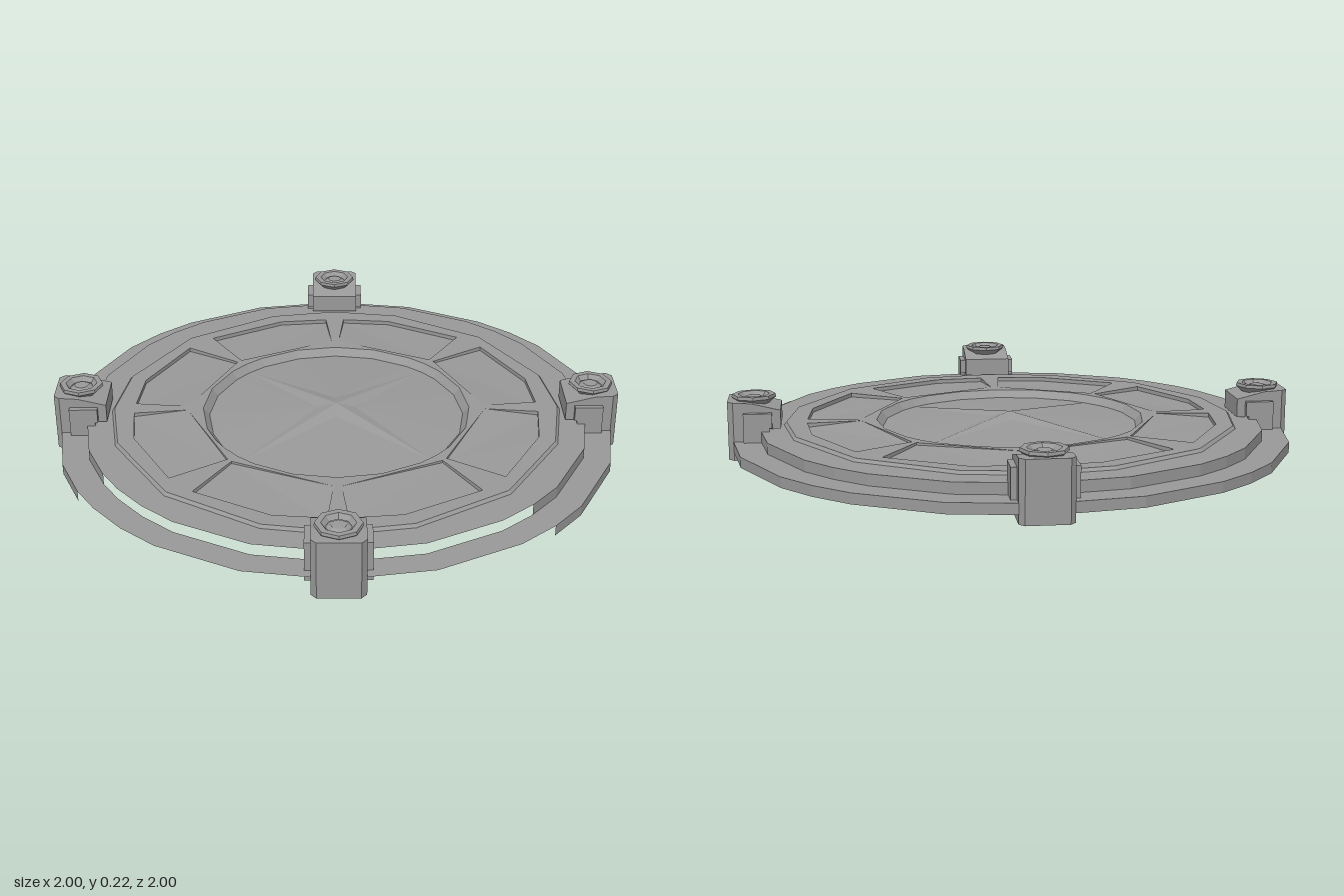
import * as THREE from 'three';

const material = new THREE.MeshStandardMaterial({
  color: 0x999999, flatShading: true, side: THREE.DoubleSide,
});
const PLATE_Y = 0.117, FLOOR_Y = 0.09;

// Corner angles in degrees, repeated for each quadrant; the rim has a split at 196
const quadrants = (list) => [0, 90, 180, 270].flatMap((q) => list.map((a) => a + q));
const RIM = [...quadrants([0, 9, 27, 45, 63, 81]), 196].sort((a, b) => a - b);
const PLATE = quadrants([0, 27, 45, 63]);

const polar = (deg, r) => {
  const a = THREE.MathUtils.degToRad(deg);
  return [r * Math.cos(a), r * Math.sin(a)];
};
const at = (deg, r, y) => {
  const [x, z] = polar(deg, r);
  return [x, y, z];
};
const ring = (angles, r) => angles.map((a) => polar(a, r));
// Neighbouring angles around the full circle
const segments = (angles) => angles.map((a, i) => [a, angles[i + 1] ?? angles[0] + 360]);

function mesh(name, geometry) {
  const m = new THREE.Mesh(geometry, material);
  m.name = name;
  return m;
}

function fromTriangles(name, points) {
  const g = new THREE.BufferGeometry();
  g.setAttribute('position', new THREE.Float32BufferAttribute(points.flat(), 3));
  g.computeVertexNormals();
  return mesh(name, g);
}

// Horizontal face at height y, with holes; points are [x, z]
function flat(name, outline, holes, y) {
  const toVec = (pts) => pts.map(([x, z]) => new THREE.Vector2(x, -z));
  const shape = new THREE.Shape(toVec(outline));
  holes.forEach((h) => shape.holes.push(new THREE.Path(toVec(h))));
  return mesh(name, new THREE.ShapeGeometry(shape).rotateX(-Math.PI / 2).translate(0, y, 0));
}

// Strip of quads from ring (r0, y0) to ring (r1, y1); skip leaves segments open
function band(name, angles, r0, y0, r1, y1, skip = () => false) {
  const tris = [];
  segments(angles).forEach(([a, b]) => {
    if (skip((a + b) / 2)) return;
    const a0 = at(a, r0, y0), b0 = at(b, r0, y0), a1 = at(a, r1, y1), b1 = at(b, r1, y1);
    tris.push(b0, a0, a1, b0, a1, b1);
  });
  return fromTriangles(name, tris);
}

// Sunken panel in one octant: [across, along axis, floor height]
const PANEL = [
  [0.01, 0.52, 0.108], [0.06, 0.74, 0.102], [0.35, 0.655, 0.102],
  [0.49, 0.54, 0.102], [0.37, 0.39, PLATE_Y],
];

function panelOutlines() {
  const out = [];
  for (let k = 0; k < 4; k++) {
    for (const s of [1, -1]) {
      const c = [1, 0, -1, 0][k], n = [0, 1, 0, -1][k];
      const pts = PANEL.map(([u, v]) => [s * u * c - v * n, s * u * n + v * c]);
      out.push({ pts, s });
    }
  }
  return out;
}

// Panel floor slopes from flush at the inside to sunken at the outside
function panel({ pts, s }) {
  const top = pts.map(([x, z]) => [x, PLATE_Y, z]);
  const low = pts.map(([x, z], i) => [x, PANEL[i][2], z]);
  const tris = [];
  const add = (a, b, c) => (s > 0 ? tris.push(a, c, b) : tris.push(a, b, c));
  for (let i = 1; i < 4; i++) add(low[0], low[i], low[i + 1]);
  for (let i = 0; i < 5; i++) {
    const j = (i + 1) % 5;
    if (j !== 4) add(top[i], low[j], top[j]);
    if (i !== 4) add(top[i], low[i], low[j]);
  }
  return fromTriangles('sunkenPanel', tris);
}

// Centre floor rising into a shallow four-pointed star
function starFloor() {
  const tris = [], peak = [0, 0.136, 0];
  for (const q of [0, 90, 180, 270]) {
    const valley = at(q + 45, 0.07, 0.119);
    tris.push(peak, valley, at(q, 0.46, FLOOR_Y));
    tris.push(peak, at(q + 90, 0.46, FLOOR_Y), valley);
    segments(RIM).filter(([a]) => a >= q && a < q + 90).forEach(([a, b]) => {
      tris.push(valley, at(b, 0.46, FLOOR_Y), at(a, 0.46, FLOOR_Y));
    });
  }
  return fromTriangles('starFloor', tris);
}

function clamp(deg) {
  const g = new THREE.Group();
  g.name = 'clamp';
  const H = 0.088, TOP = 0.207;

  // C-shaped side plates, open underneath
  const side = new THREE.Shape([
    [0.82, 0], [0.985, 0], [0.985, TOP], [0.92, 0.203], [0.82, 0.178],
    [0.82, 0.112], [0.95, 0.112], [0.95, 0.03], [0.82, 0.03],
  ].map(([r, y]) => new THREE.Vector2(r, y)));
  for (const s of [1, -1]) {
    const plate = new THREE.ShapeGeometry(side);
    if (s < 0) plate.rotateX(Math.PI).scale(1, -1, 1);
    g.add(mesh('jawSide', plate.translate(0, 0, s * H)));
  }

  // Inner face and sloping top
  const cover = [];
  const path = [[0.82, 0.112], [0.82, 0.178], [0.92, 0.203], [0.985, TOP]];
  for (let i = 0; i < 3; i++) {
    const [r0, y0] = path[i], [r1, y1] = path[i + 1];
    cover.push([r0, y0, -H], [r0, y0, H], [r1, y1, H], [r0, y0, -H], [r1, y1, H], [r1, y1, -H]);
  }
  g.add(fromTriangles('jawTop', cover));

  // Outer wall with chamfered corners
  const wall = [[0.985, H], [1.005, 0.07], [1.005, -0.07], [0.985, -H]];
  const tris = [];
  for (let i = 0; i < 3; i++) {
    const [r0, t0] = wall[i], [r1, t1] = wall[i + 1];
    tris.push([r0, 0, t0], [r1, 0, t1], [r1, TOP, t1], [r0, 0, t0], [r1, TOP, t1], [r0, TOP, t0]);
  }
  g.add(fromTriangles('jawWall', tris), flat('jawWallTop', wall, [], TOP));

  // Cheek blocks standing out at both sides
  const cheek = new THREE.Shape([
    [0.86, 0.03], [0.95, 0.03], [0.95, 0.17], [0.85, 0.17], [0.85, 0.118], [0.86, 0.118],
  ].map(([r, y]) => new THREE.Vector2(r, y)));
  for (const z of [H, -0.108]) {
    const block = new THREE.ExtrudeGeometry(cheek, { depth: 0.108 - H, bevelEnabled: false });
    g.add(mesh('cheek', block.translate(0, 0, z)));
  }

  // Hollow flared nut with a bolt inside
  const profile = [[0.055, 0.19], [0.078, 0.211], [0.076, 0.222], [0.056, 0.222], [0.042, 0.206]];
  const nut = mesh('nut', new THREE.LatheGeometry(
    profile.map(([r, y]) => new THREE.Vector2(r, y)), 8));
  const bolt = mesh('bolt', new THREE.CylinderGeometry(0.026, 0.044, 0.012, 8));
  nut.position.x = bolt.position.x = 0.915;
  bolt.position.y = 0.209;
  g.add(nut, bolt);
  g.rotation.y = THREE.MathUtils.degToRad(deg);
  return g;
}

export function createModel() {
  const model = new THREE.Group();
  model.name = 'roundHatch';
  // The outer walls are open along one stretch of the edge
  const open = (mid) => mid > 90 && mid < 196;

  // Stepped rim
  model.add(band('rimWall', RIM, 1, 0.03, 1, 0.067, open));
  model.add(flat('rimTop', ring(RIM, 1), [ring(RIM, 0.905)], 0.067));
  model.add(band('stepWall', RIM, 0.905, 0.067, 0.905, 0.106, open));
  model.add(flat('stepTop', ring(RIM, 0.905), [ring(PLATE, 0.812)], 0.106));
  model.add(band('plateEdge', PLATE, 0.812, 0.106, 0.803, PLATE_Y));

  // Plate with sunken panels
  const outlines = panelOutlines();
  model.add(flat('plate', ring(PLATE, 0.803),
    [ring(RIM, 0.482), ...outlines.map((o) => o.pts)], PLATE_Y));
  outlines.forEach((o) => model.add(panel(o)));

  // Recessed centre
  model.add(band('centreBevel', RIM, 0.482, PLATE_Y, 0.46, FLOOR_Y));
  model.add(starFloor());

  // Clamps on the diagonals
  [45, 135, 225, 315].forEach((deg) => model.add(clamp(deg)));
  return model;
}
